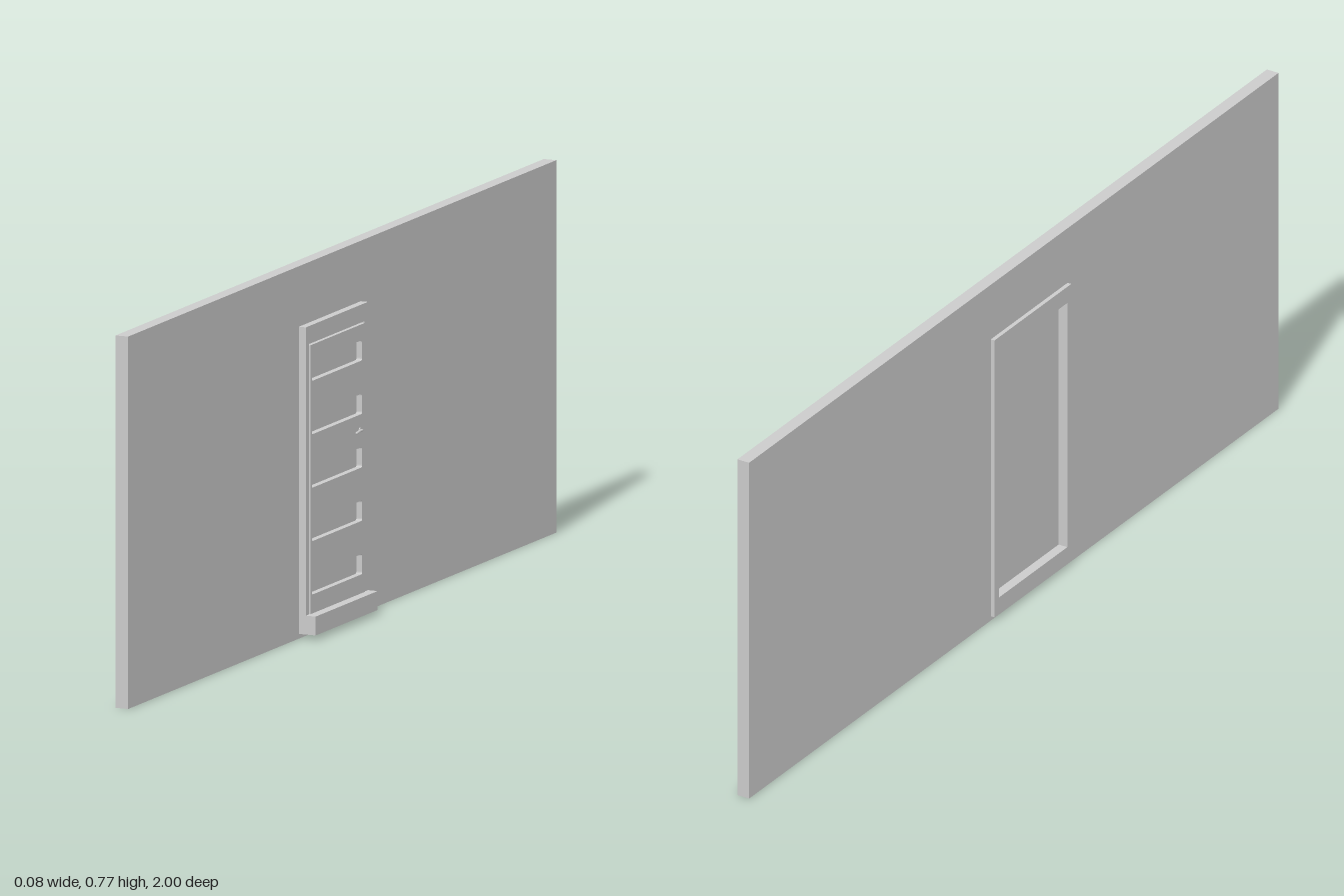
import * as THREE from 'three';

const material = new THREE.MeshStandardMaterial({ color: 0xcccccc });

// Rectangle in the wall plane (z range, y range), optionally with rounded corners
function rect(z0, z1, y0, y1, r = 0, Type = THREE.Shape) {
  const a = -z1, b = -z0;
  const p = new Type();
  p.moveTo(a + r, y0);
  p.lineTo(b - r, y0);
  if (r) p.quadraticCurveTo(b, y0, b, y0 + r);
  p.lineTo(b, y1 - r);
  if (r) p.quadraticCurveTo(b, y1, b - r, y1);
  p.lineTo(a + r, y1);
  if (r) p.quadraticCurveTo(a, y1, a, y1 - r);
  p.lineTo(a, y0 + r);
  if (r) p.quadraticCurveTo(a, y0, a + r, y0);
  p.closePath();
  return p;
}

const hole = (z0, z1, y0, y1, r) => rect(z0, z1, y0, y1, r, THREE.Path);

// Extrude a wall-plane shape through the thickness from x0 to x1
function slab(name, shape, x0, x1, holes = []) {
  shape.holes.push(...holes);
  const geo = new THREE.ExtrudeGeometry(shape, { depth: x1 - x0, bevelEnabled: false, curveSegments: 4 });
  geo.rotateY(Math.PI / 2).translate(x0, 0, 0);
  const mesh = new THREE.Mesh(geo, material);
  mesh.name = name;
  return mesh;
}

export function createModel() {
  const model = new THREE.Group();
  model.name = 'wallWithDoor';

  // Wall with doorway
  model.add(slab('wall', rect(-1, 1, 0, 0.77), -0.029, -0.001, [hole(-0.08, 0.195, 0.02, 0.635)]));

  // Door frame, proud of the wall on both sides
  model.add(slab('doorFrame', rect(-0.087, 0.203, 0.01, 0.645), -0.038, 0.015,
    [hole(-0.07, 0.188, 0.048, 0.608)]));

  // Doorstep
  model.add(slab('doorstep', rect(-0.087, 0.203, 0.01, 0.049), 0.015, 0.037));

  // Door leaf: plain back board and a front board with five recessed panels
  const door = new THREE.Group();
  door.name = 'door';
  door.add(slab('doorBack', rect(-0.068, 0.186, 0.049, 0.605), -0.018, 0.004));
  const recesses = [];
  for (let i = 0; i < 5; i++) {
    const y = 0.109 + i * 0.1105;
    recesses.push(hole(-0.056, 0.179, y - 0.021, y + 0.021, 0.005));
  }
  door.add(slab('doorFront', rect(-0.068, 0.186, 0.049, 0.605), 0.004, 0.017, recesses));
  model.add(door);

  // Lever handle
  const handle = new THREE.Group();
  handle.name = 'handle';
  const rose = new THREE.Mesh(new THREE.CylinderGeometry(0.0055, 0.0055, 0.003, 16), material);
  rose.name = 'handleRose';
  rose.rotation.z = Math.PI / 2;
  rose.position.set(0.0175, 0.388, -0.045);
  const path = new THREE.CatmullRomCurve3([
    [0.016, 0.388, -0.045], [0.0225, 0.388, -0.044], [0.0245, 0.389, -0.038],
    [0.0245, 0.389, -0.028], [0.024, 0.387, -0.016],
  ].map((p) => new THREE.Vector3(...p)));
  const lever = new THREE.Mesh(new THREE.TubeGeometry(path, 20, 0.0028, 8), material);
  lever.name = 'handleLever';
  const tip = new THREE.Mesh(new THREE.SphereGeometry(0.0028, 8, 6), material);
  tip.name = 'handleTip';
  tip.position.set(0.024, 0.387, -0.016);
  handle.add(rose, lever, tip);
  model.add(handle);

  return model;
}
